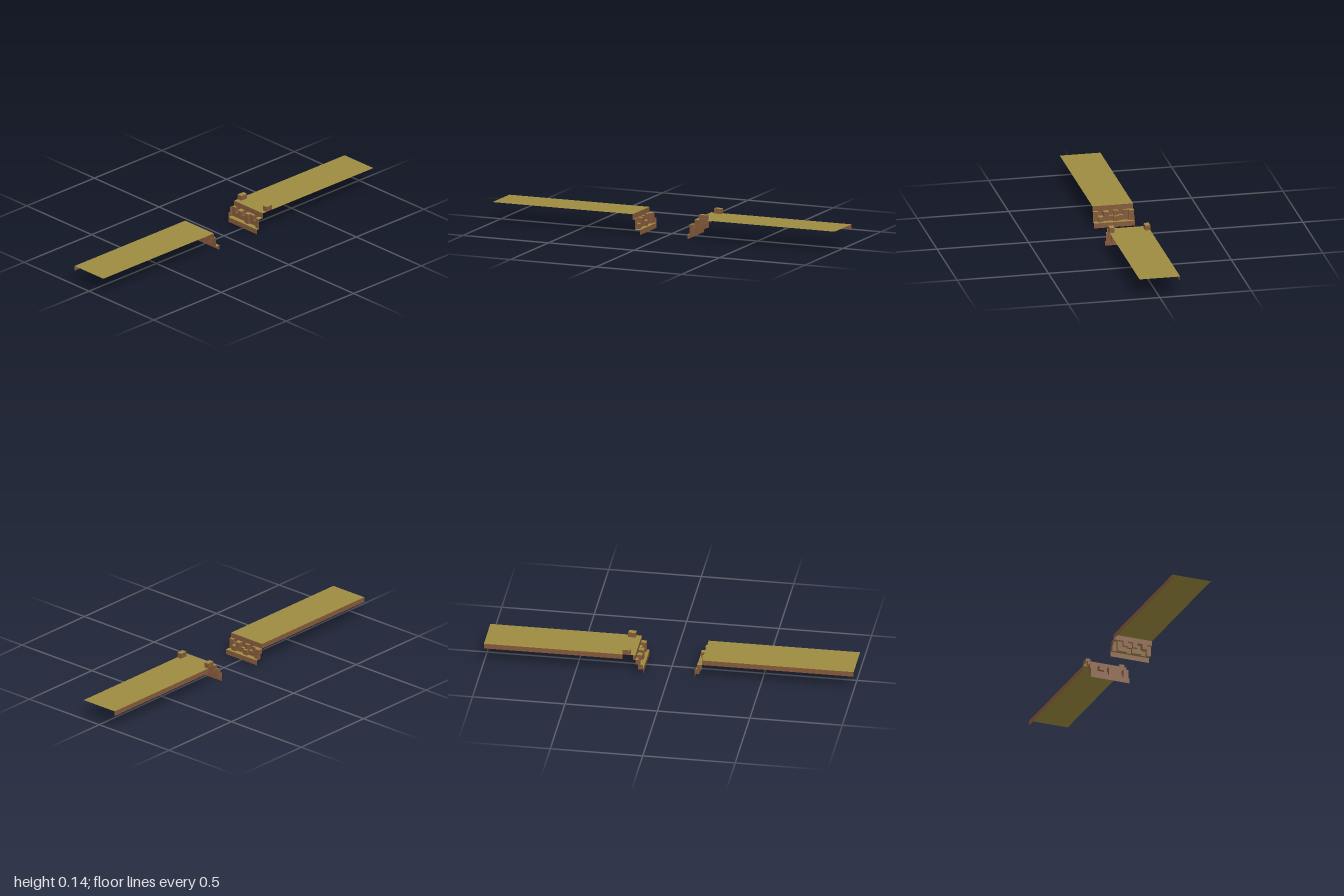
import * as THREE from 'three';
import { mergeGeometries } from 'three/addons/utils/BufferGeometryUtils.js';

const U = 1 / 36; // block size (y and z)
const S = 1 / 72; // half block (x)
const Z = 4 * U;  // half width

// Flat rectangles facing along one axis
function xFace(x, y0, y1, z0, z1, dir) {
  return new THREE.PlaneGeometry(z1 - z0, y1 - y0).rotateY(dir * Math.PI / 2)
    .translate(x, (y0 + y1) / 2, (z0 + z1) / 2);
}
function yFace(x0, x1, y, z0, z1, dir = 1) {
  return new THREE.PlaneGeometry(Math.abs(x1 - x0), z1 - z0).rotateX(-dir * Math.PI / 2)
    .translate((x0 + x1) / 2, y, (z0 + z1) / 2);
}
function zFace(x0, x1, y0, y1, z, dir) {
  return new THREE.PlaneGeometry(Math.abs(x1 - x0), y1 - y0).rotateY(dir > 0 ? 0 : Math.PI)
    .translate((x0 + x1) / 2, (y0 + y1) / 2, z);
}

export function createModel() {
  const group = new THREE.Group();
  const grass = new THREE.MeshStandardMaterial({ color: 0x9c8b40, side: THREE.DoubleSide });
  grass.name = 'dryGrass';
  const earth = new THREE.MeshStandardMaterial({ color: 0x85593a, side: THREE.DoubleSide });
  earth.name = 'brownEarth';

  function add(parent, name, faces, material) {
    const mesh = new THREE.Mesh(mergeGeometries(faces), material);
    mesh.name = name;
    parent.add(mesh);
  }

  // Broken bank: depth of the face (half blocks from the middle) per layer and column
  function bank(side, layers) {
    const part = new THREE.Group();
    part.name = side > 0 ? 'leftBank' : 'rightBank';
    const walls = [], treads = [];
    const X = d => side * d * S;
    layers.forEach((row, l) => {
      const y0 = l * U, y1 = y0 + U;
      row.forEach((d, c) => {
        const z0 = Z - (c + 1) * U, z1 = z0 + U;
        walls.push(xFace(X(d), y0, y1, z0, z1, -side));
        // step sides between neighbouring columns
        if (c < 7 && row[c + 1] !== d) {
          walls.push(zFace(X(d), X(row[c + 1]), y0, y1, z0, row[c + 1] > d ? -1 : 1));
        }
        // treads, and undersides where a block overhangs
        const above = l < 3 ? layers[l + 1][c] : d;
        if (above > d) treads.push(yFace(X(d), X(above), y1, z0, z1));
        if (above < d) walls.push(yFace(X(d), X(above), y1, z0, z1, -1));
      });
    });
    // block ends on the back edge
    walls.push(zFace(X(10), X(12), U, 2 * U, -Z, -1), zFace(X(11), X(13), 2 * U, 3 * U, -Z, -1));
    if (side > 0) walls.push(zFace(X(13), X(14), 3 * U, 4 * U, -Z, -1));
    add(part, 'bankWalls', walls, earth);
    add(part, 'bankTreads', treads, grass);
    group.add(part);
  }

  const full = d => Array(8).fill(d);
  bank(1, [full(10), [11, 12, 12, 11, 12, 12, 12, 12], [11, 13, 12, 11, 13, 11, 13, 12], full(13)]);
  bank(-1, [full(10), [12, 11, 12, 12, 11, 12, 12, 11], [12, 13, 11, 13, 12, 13, 12, 11], full(13)]);

  // Ground surfaces; the left one is notched under its posts
  add(group, 'rightGround', [yFace(-1, -13 * S, 4 * U, -Z, Z)], grass);
  add(group, 'leftGround', [
    yFace(13 * S, 15 * S, 4 * U, -Z, Z),
    yFace(15 * S, 18 * S, 4 * U, -3 * U, 3 * U),
    yFace(18 * S, 1, 4 * U, -Z, Z),
  ], grass);

  // Back edges of the ground
  add(group, 'rightBackEdge', [zFace(-1, -13 * S, 3 * U, 4 * U, -Z, -1)], earth);
  add(group, 'leftBackEdge', [zFace(18 * S, 1, 3 * U, 4 * U, -Z, -1)], earth);

  // Two open-bottomed raised blocks
  for (const [name, z0] of [['frontBlock', 3 * U], ['backBlock', -Z]]) {
    const x0 = 15 * S, x1 = 18 * S, y0 = 4 * U, y1 = 5 * U, z1 = z0 + U;
    const block = new THREE.Group();
    block.name = name;
    add(block, 'blockSides', [
      xFace(x0, y0, y1, z0, z1, -1), xFace(x1, y0, y1, z0, z1, 1),
      zFace(x0, x1, y0, y1, z0, -1), zFace(x0, x1, y0, y1, z1, 1),
    ], earth);
    add(block, 'blockTop', [yFace(x0, x1, y1, z0, z1)], grass);
    group.add(block);
  }
  return group;
}
